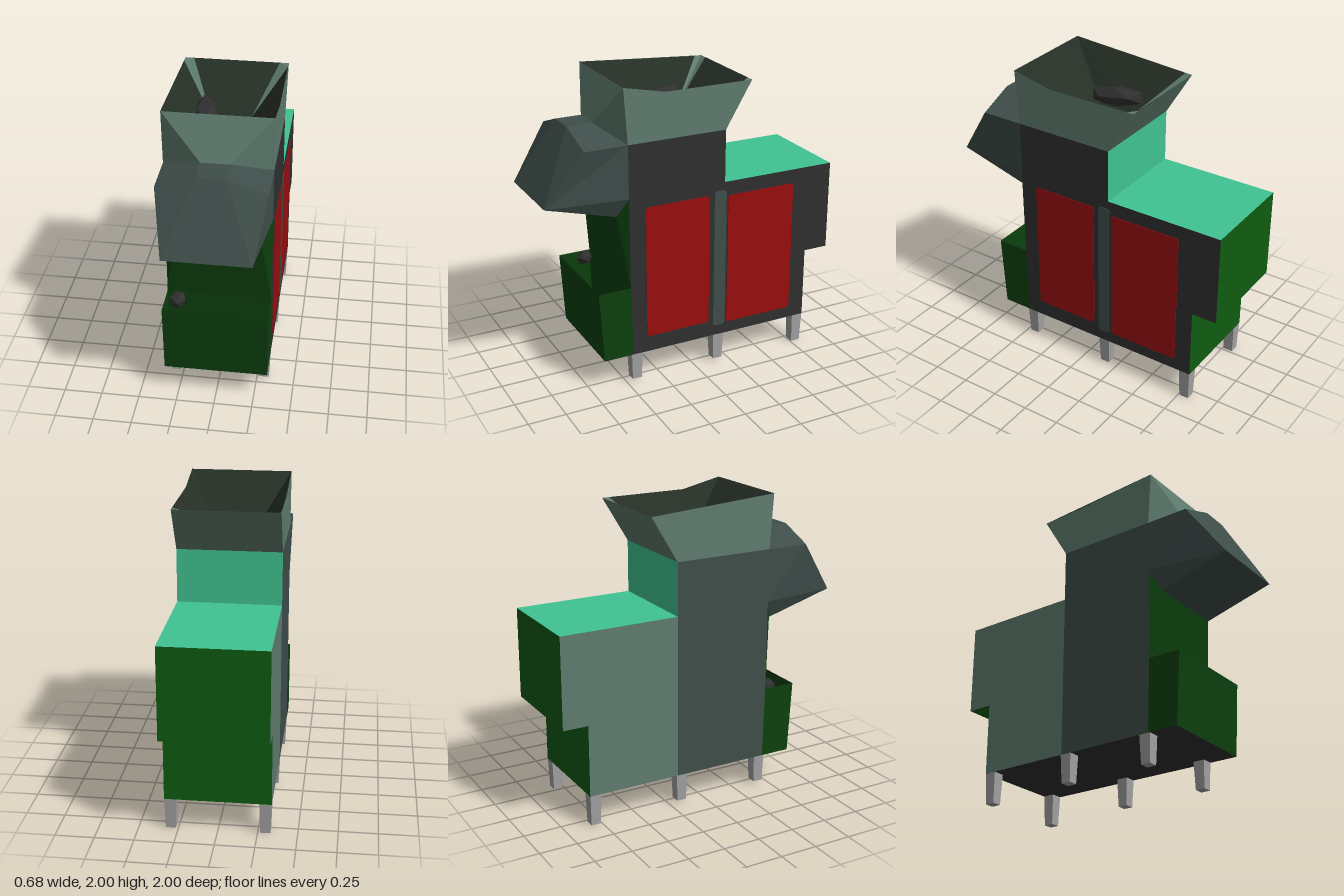
import * as THREE from 'three';

const mat = (name, color) => new THREE.MeshStandardMaterial({ name, color, side: THREE.DoubleSide, flatShading: true });

const W = 0.337; // half width of the machine

// Flat polygons, each a list of [x, y, z] corners, fanned from the first corner
function facets(name, material, polys) {
  const pos = [];
  for (const p of polys)
    for (let i = 1; i < p.length - 1; i++) pos.push(...p[0], ...p[i], ...p[i + 1]);
  const g = new THREE.BufferGeometry();
  g.setAttribute('position', new THREE.Float32BufferAttribute(pos, 3));
  g.computeVertexNormals();
  const m = new THREE.Mesh(g, material);
  m.name = name;
  return m;
}

const mirror = (p) => p.map(([x, y, z]) => [-x, y, z]).reverse();
const both = (polys) => polys.flatMap((p) => [p, mirror(p)]);
// Panel on the +x side from [z, y] corners
const side = (pts) => pts.map(([z, y]) => [W, y, z]);
// Four corners spanning the full width between two [y, z] edges
const span = ([y0, z0], [y1, z1], w0 = W, w1 = W) => [[-w0, y0, z0], [w0, y0, z0], [w1, y1, z1], [-w1, y1, z1]];

// Thin rounded plate on the +x side
function plate(name, material, zFront, zBack, y0, y1, r) {
  const a = -zFront, b = -zBack;
  const s = new THREE.Shape();
  s.moveTo(a + r, y0);
  s.lineTo(b - r, y0);
  s.quadraticCurveTo(b, y0, b, y0 + r);
  s.lineTo(b, y1 - r);
  s.quadraticCurveTo(b, y1, b - r, y1);
  s.lineTo(a + r, y1);
  s.quadraticCurveTo(a, y1, a, y1 - r);
  s.lineTo(a, y0 + r);
  s.quadraticCurveTo(a, y0, a + r, y0);
  const g = new THREE.ExtrudeGeometry(s, { depth: 0.004, bevelEnabled: false, curveSegments: 3 });
  g.rotateY(Math.PI / 2);
  const m = new THREE.Mesh(g, material);
  m.name = name;
  m.position.x = W;
  return m;
}

function lump(name, material, size, pos, rot) {
  const m = new THREE.Mesh(new THREE.IcosahedronGeometry(1, 0), material);
  m.name = name;
  m.scale.set(...size);
  m.position.set(...pos);
  m.rotation.set(...rot);
  return m;
}

export function createModel() {
  const charcoal = mat('charcoal', 0x303030);
  const paleSteel = mat('paleSteel', 0x5f7c6f);
  const darkSteel = mat('darkSteel', 0x3f4e4a);
  const mint = mat('mint', 0x40c492);
  const frontGreen = mat('frontGreen', 0x0d400e);
  const backGreen = mat('backGreen', 0x0f5c11);
  const red = mat('red', 0x9a0e0e);
  const legGrey = mat('legGrey', 0xa2a2a2);
  const funnelDark = mat('funnelDark', 0x262f26);

  const model = new THREE.Group();
  model.name = 'hopperMachine';

  // Cabinet sides: tall front part, stepped rear part
  const tall = side([[0.455, 0.205], [-0.2, 0.205], [-0.2, 1.64], [0.475, 1.64], [0.47, 0.685]]);
  const rear = [
    side([[-0.2, 0.205], [-0.83, 0.205], [-0.83, 1.29], [-0.2, 1.29]]),
    side([[-0.83, 0.685], [-1, 0.685], [-1, 1.29], [-0.83, 1.29]]),
  ];
  model.add(facets('cabinetLeftSide', charcoal, [tall, ...rear]));
  model.add(facets('cabinetRightFront', darkSteel, [mirror(tall)]));
  model.add(facets('cabinetRightRear', paleSteel, rear.map(mirror)));
  model.add(facets('cabinetBottom', charcoal, [span([0.205, -0.83], [0.205, 0.66])]));

  // Mint deck and the wall behind the hopper
  model.add(facets('rearDeck', mint, [
    span([1.29, -0.2], [1.29, -1]),
    span([1.64, -0.2], [1.29, -0.2]),
  ]));

  // Stepped green back
  model.add(facets('backPanels', backGreen, [
    span([1.29, -1], [0.685, -1]),
    span([0.685, -1], [0.685, -0.83]),
    span([0.685, -0.83], [0.205, -0.83]),
  ]));

  // Front wall leaning out under the chute
  model.add(facets('frontPanel', frontGreen, [
    span([0.205, 0.455], [0.685, 0.47]),
    span([0.685, 0.47], [1.16, 0.53], W, 0.27),
    ...both([[[W, 0.685, 0.47], [W, 1.29, 0.47], [0.27, 1.16, 0.53]]]),
  ]));

  // Open collecting bin
  model.add(facets('bin', frontGreen, [
    span([0.205, 0.66], [0.685, 0.69]),
    span([0.24, 0.66], [0.24, 0.456]),
    ...both([side([[0.66, 0.205], [0.455, 0.205], [0.47, 0.685], [0.69, 0.685]])]),
  ]));
  model.add(lump('binScrap', charcoal, [0.06, 0.05, 0.06], [-0.26, 0.67, 0.54], [0.3, 0.2, 0.4]));

  // Discharge chute
  model.add(facets('chute', darkSteel, [
    span([1.29, 1], [1.73, 0.77], 0.27, 0.09),
    span([1.73, 0.77], [1.73, 0.6], 0.09, 0.09),
    span([1.16, 0.53], [1.29, 1], 0.27, 0.27),
    ...both([
      [[0.27, 1.29, 1], [W, 1.64, 0.76], [0.09, 1.73, 0.77]],
      [[0.09, 1.73, 0.77], [W, 1.64, 0.76], [W, 1.64, 0.475], [0.09, 1.73, 0.6]],
      [[W, 1.64, 0.475], [W, 1.64, 0.76], [0.27, 1.29, 1], [W, 1.29, 0.47]],
      [[W, 1.29, 0.47], [0.27, 1.29, 1], [0.27, 1.16, 0.53]],
    ]),
  ]));

  // Hopper shell
  model.add(facets('hopperShell', paleSteel, [
    span([1.73, 0.6], [2, 0.5], 0.09, W),
    span([1.94, -0.38], [1.64, -0.2]),
    ...both([
      [[0.09, 1.73, 0.6], [W, 1.64, 0.475], [W, 2, 0.5]],
      side([[0.22, 1.94], [0.5, 2], [0.475, 1.64], [-0.2, 1.64], [-0.38, 1.94]]),
    ]),
  ]));

  // Funnel inside the hopper, with pale rear corners
  const a = [W, 2, 0.5], b = [W, 1.94, 0.22], p = [W, 1.94, -0.33];
  const c = [W, 1.94, -0.38], q = [0.28, 1.94, -0.38];
  const d = [0.13, 1.68, -0.09], e = [0.13, 1.68, 0.18];
  model.add(facets('funnel', funnelDark, [
    span([1.68, -0.09], [1.94, -0.38], 0.13, 0.28),
    span([2, 0.5], [1.68, 0.18], W, 0.13),
    span([1.68, 0.18], [1.68, -0.09], 0.13, 0.13),
    ...both([[b, p, d, e, a]]),
  ]));
  model.add(facets('funnelCorners', paleSteel, both([[p, c, q, d]])));
  model.add(lump('hopperScrap', charcoal, [0.08, 0.07, 0.2], [-0.14, 1.76, 0.05], [0.1, 0.15, 0.2]));

  // Doors and the post between them
  model.add(plate('frontDoor', red, 0.36, -0.09, 0.315, 1.215, 0.02));
  model.add(plate('rearDoor', red, -0.225, -0.715, 0.285, 1.195, 0.02));
  model.add(plate('doorPost', darkSteel, -0.125, -0.212, 0.275, 1.235, 0.025));

  // Six tapered legs
  for (const [z, foot] of [[0.43, 0.02], [-0.167, 0.02], [-0.79, 0]]) {
    for (const s of [1, -1]) {
      const h = 0.21 - foot;
      const g = new THREE.CylinderGeometry(0.055, 0.045, h, 4);
      g.rotateY(Math.PI / 4);
      const leg = new THREE.Mesh(g, legGrey);
      leg.name = 'leg';
      leg.position.set(s * 0.298, foot + h / 2, z);
      model.add(leg);
    }
  }
  return model;
}
